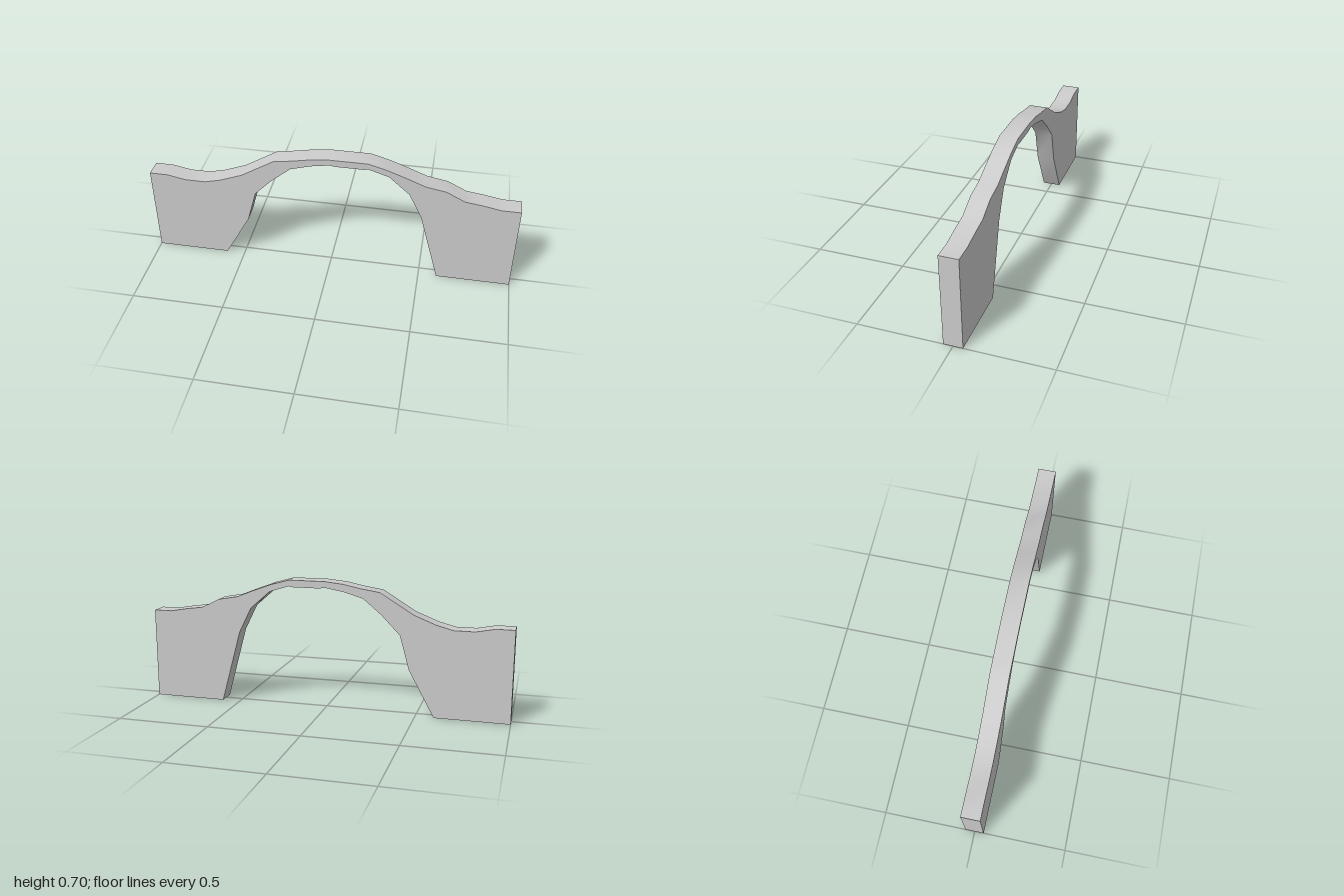
import * as THREE from 'three';
import { toCreasedNormals } from 'three/addons/utils/BufferGeometryUtils.js';

const THICKNESS = 0.1;

// Upper edge, from the right end to the left end
const topEdge = [
  [-1, 0.5], [-0.9, 0.5], [-0.8, 0.48], [-0.69, 0.48], [-0.6, 0.503],
  [-0.48, 0.55], [-0.39, 0.605], [-0.3, 0.66], [-0.2, 0.675], [-0.1, 0.695],
  [0, 0.705], [0.2, 0.705], [0.3, 0.677], [0.4, 0.64], [0.5, 0.6],
  [0.61, 0.58], [0.71, 0.53], [0.8, 0.518], [0.9, 0.5], [1, 0.5],
];

// Arched opening, from the left foot to the right foot
const archEdge = [
  [0.6, 0], [0.49, 0.4], [0.42, 0.54], [0.31, 0.637], [0.2, 0.672],
  [0.18, 0.667], [0.03, 0.667], [0, 0.672], [-0.1, 0.655], [-0.21, 0.623],
  [-0.31, 0.54], [-0.41, 0.437], [-0.46, 0.255], [-0.6, 0],
];

export function createModel() {
  const group = new THREE.Group();
  group.name = 'archedWall';

  // Closed outline: top edge, left foot, arch, right foot
  const outline = [...topEdge, [1, 0], ...archEdge, [-1, 0]];
  const shape = new THREE.Shape(outline.map(([x, y]) => new THREE.Vector2(x, y)));

  // Flat faces, with the curved top and arch underside shaded smoothly
  const extruded = new THREE.ExtrudeGeometry(shape, { depth: THICKNESS, bevelEnabled: false });
  extruded.translate(0, 0, -THICKNESS / 2);
  const wall = new THREE.Mesh(
    toCreasedNormals(extruded, 0.7),
    new THREE.MeshStandardMaterial({ color: 0xcccccc }),
  );
  wall.name = 'archSlab';
  group.add(wall);
  return group;
}
